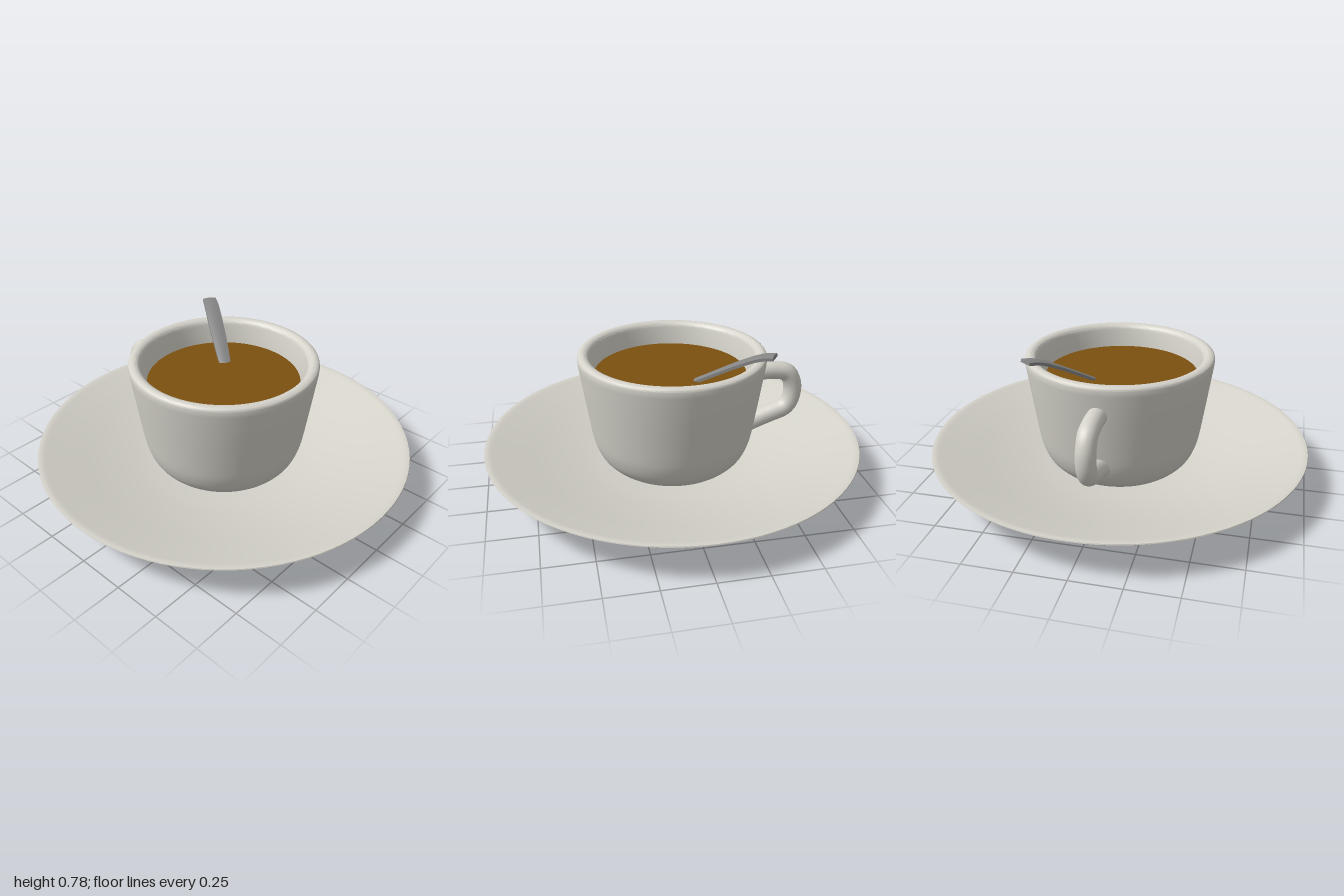
import * as THREE from 'three';
import { toCreasedNormals } from 'three/addons/utils/BufferGeometryUtils.js';

const porcelain = new THREE.MeshStandardMaterial({ name: 'porcelain', color: 0xd4d2c9 });
const coffeeBrown = new THREE.MeshStandardMaterial({ name: 'coffeeBrown', color: 0x7c500f });
const steel = new THREE.MeshStandardMaterial({ name: 'steel', color: 0x868686 });

function part(name, geometry, material) {
  const mesh = new THREE.Mesh(geometry, material);
  mesh.name = name;
  return mesh;
}

// Revolves a profile of [radius, height] pairs, keeping sharp edges sharp
function turned(points) {
  const profile = points.map(([r, y]) => new THREE.Vector2(r, y));
  return toCreasedNormals(new THREE.LatheGeometry(profile, 96), 0.6);
}

// Samples a smooth curve through [radius, height] pairs
function smooth(points, count) {
  const curve = new THREE.SplineCurve(points.map(([r, y]) => new THREE.Vector2(r, y)));
  return curve.getPoints(count).map((p) => [p.x, p.y]);
}

// Shallow dish with a slim lip and a small stepped foot
function createSaucer() {
  return part('saucer', turned([
    [0, 0.006], [0.11, 0.006], [0.115, 0], [0.125, 0], [0.13, 0.012], [0.24, 0.012], [0.245, 0.008],
    ...smooth([[0.26, 0.01], [0.45, 0.044], [0.65, 0.092], [0.85, 0.152], [0.995, 0.2]], 20),
    [1, 0.204], [0.998, 0.209], [0.985, 0.21],
    ...smooth([[0.97, 0.207], [0.85, 0.17], [0.65, 0.11], [0.45, 0.062], [0.27, 0.036]], 20),
    [0, 0.034],
  ]), porcelain);
}

// Tapered cup wall with a rounded base and rim, hollow inside
function createCup() {
  return part('cup', turned([
    [0, 0.045],
    ...smooth([[0.24, 0.045], [0.32, 0.075], [0.385, 0.135], [0.42, 0.215], [0.437, 0.3]], 18),
    [0.462, 0.47], [0.488, 0.65],
    ...smooth([[0.49, 0.675], [0.486, 0.69], [0.47, 0.699], [0.45, 0.698], [0.433, 0.685], [0.425, 0.66]], 16),
    [0.405, 0.56], [0.375, 0.3],
    ...smooth([[0.36, 0.22], [0.31, 0.13], [0.22, 0.09]], 8),
    [0, 0.085],
  ]), porcelain);
}

// Looped handle at the back, both ends sunk into the cup wall
function createHandle() {
  const path = new THREE.CatmullRomCurve3([
    [0.54, -0.44], [0.541, -0.56], [0.522, -0.635], [0.455, -0.671], [0.37, -0.668],
    [0.317, -0.635], [0.283, -0.55], [0.258, -0.48], [0.225, -0.4],
  ].map(([y, z]) => new THREE.Vector3(0, y, z)));
  return part('handle', new THREE.TubeGeometry(path, 64, 0.049, 20), porcelain);
}

function createCoffee() {
  const coffee = part('coffee', new THREE.CircleGeometry(0.398, 96), coffeeBrown);
  coffee.rotation.x = -Math.PI / 2;
  coffee.position.set(-0.01, 0.58, 0.007);
  return coffee;
}

// Spoon handle: a flat bar swept from the coffee up over the rim
function createSpoon() {
  const geometry = new THREE.BoxGeometry(1, 1, 1, 4, 1, 20);
  const position = geometry.attributes.position;
  const path = new THREE.CatmullRomCurve3([
    [0.08, 0.535, -0.045], [0.127, 0.58, -0.11], [0.187, 0.64, -0.195], [0.248, 0.7, -0.283],
    [0.315, 0.755, -0.377], [0.355, 0.77, -0.433],
  ].map((p) => new THREE.Vector3(...p)));
  const across = new THREE.Vector3(0.817, 0, 0.577);
  for (let i = 0; i < position.count; i++) {
    const t = 0.5 - position.getZ(i);
    const side = position.getX(i);
    const width = 0.05 + 0.034 * Math.sin(Math.min(1, t * 1.3) * Math.PI / 2) - 0.012 * t ** 4;
    const crown = position.getY(i) > 0 ? -0.02 * side * side : 0;
    const up = path.getTangent(t).cross(across).normalize();
    if (up.y < 0) up.negate();
    const p = path.getPoint(t)
      .addScaledVector(across, side * width)
      .addScaledVector(up, position.getY(i) * 0.02 + crown);
    position.setXYZ(i, p.x, p.y, p.z);
  }
  return part('spoon', toCreasedNormals(geometry, 0.6), steel);
}

export function createModel() {
  const model = new THREE.Group();
  model.name = 'coffeeCupOnSaucer';
  model.add(createSaucer(), createCup(), createHandle(), createCoffee(), createSpoon());
  return model;
}
